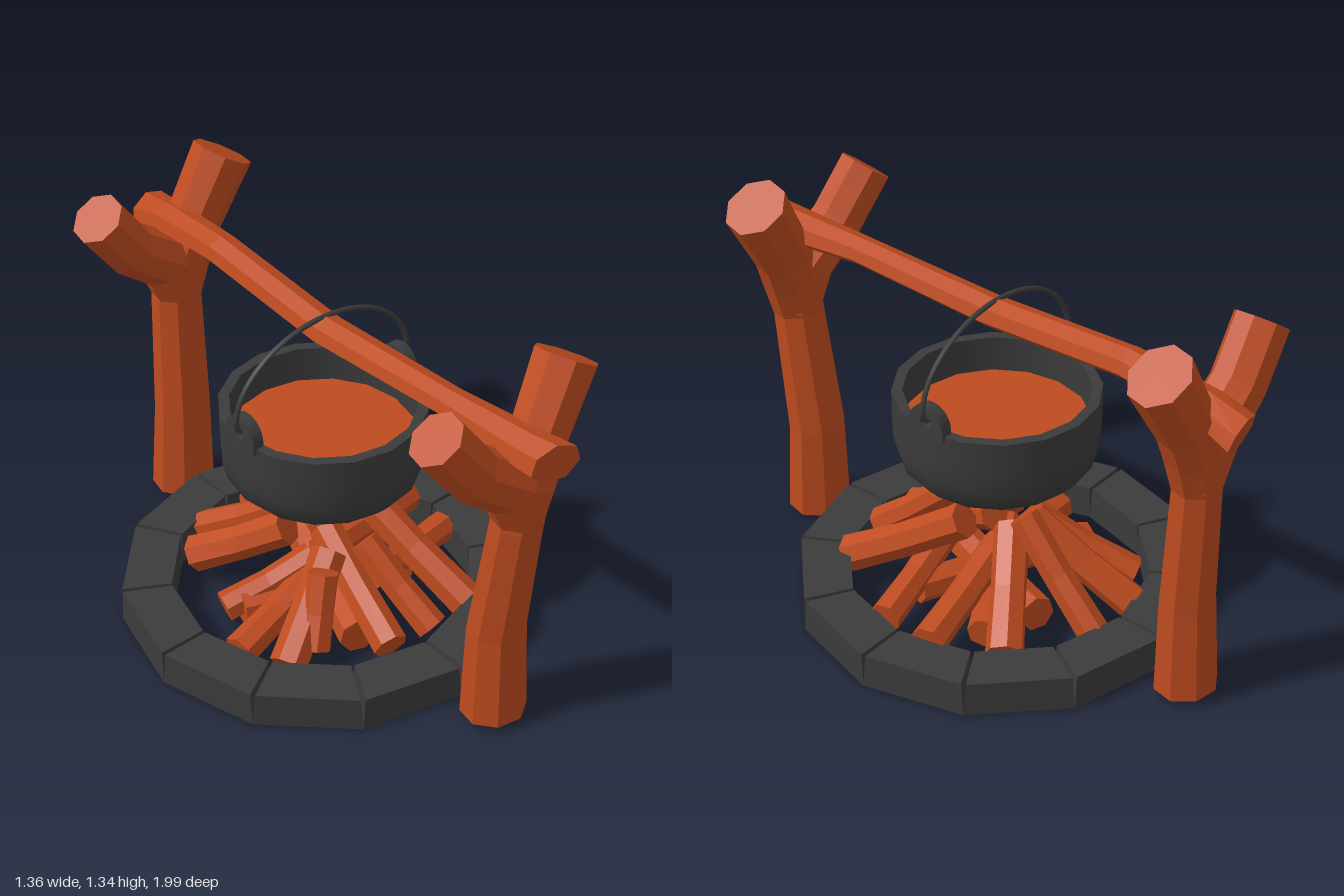
import * as THREE from 'three';

const wood = new THREE.MeshStandardMaterial({ color: 0xbe4b1f });
wood.name = 'russetWood';
const iron = new THREE.MeshStandardMaterial({ color: 0x3b3b3b });
iron.name = 'charcoalIron';
const CZ = -0.017; // centre of fire ring and pot

// Faceted branch swept through [x, y, z, radius] stations, capped at both ends;
// stretch scales the section along z (or along x for branches running in z)
function branch(stations, sides = 8, stretch = 1) {
  const pts = stations.map(s => new THREE.Vector3(s[0], s[1], s[2]));
  const n = pts.length, pos = [], idx = [];
  pts.forEach((p, i) => {
    const t = pts[Math.min(i + 1, n - 1)].clone().sub(pts[Math.max(i - 1, 0)]).normalize();
    const ref = Math.abs(t.z) > 0.8 ? new THREE.Vector3(1, 0, 0) : new THREE.Vector3(0, 0, 1);
    const u = ref.addScaledVector(t, -ref.dot(t)).normalize();
    const v = t.clone().cross(u);
    const r = stations[i][3];
    for (let j = 0; j < sides; j++) {
      const a = (j + 0.25) / sides * Math.PI * 2;
      const q = p.clone().addScaledVector(u, Math.cos(a) * r * stretch).addScaledVector(v, Math.sin(a) * r);
      pos.push(q.x, q.y, q.z);
    }
  });
  const first = n * sides, last = first + 1;
  pos.push(...pts[0].toArray(), ...pts[n - 1].toArray());
  for (let j = 0; j < sides; j++) {
    const k = (j + 1) % sides, e = (n - 1) * sides;
    for (let i = 0; i < n - 1; i++) {
      const a = i * sides + j, b = i * sides + k;
      idx.push(a, b, b + sides, a, b + sides, a + sides);
    }
    idx.push(first, k, j, last, e + j, e + k);
  }
  const g = new THREE.BufferGeometry();
  g.setAttribute('position', new THREE.Float32BufferAttribute(pos, 3));
  g.setIndex(idx);
  const flat = g.toNonIndexed();
  flat.computeVertexNormals();
  return flat;
}

function add(parent, name, geometry, material) {
  const m = new THREE.Mesh(geometry, material);
  m.name = name;
  parent.add(m);
  return m;
}

// Crooked crossbeam with slanting sawn ends
function beamGeometry() {
  const g = branch([
    [0.03, 1.098, 0.975, 0.066], [0.022, 1.098, 0.88, 0.06], [0.01, 1.1, 0.55, 0.044],
    [0.01, 1.077, 0, 0.048], [0.03, 1.112, -0.55, 0.048], [0.05, 1.088, -0.85, 0.053],
    [0.065, 1.05, -0.975, 0.066]], 7, 1.32);
  const p = g.attributes.position;
  for (let k = 0; k < p.count; k++) {
    const z = p.getZ(k);
    if (Math.abs(z) > 0.93) p.setZ(k, z + Math.sign(z) * 0.28 * (p.getX(k) - 0.045));
  }
  g.computeVertexNormals();
  return g;
}

// Wedge-shaped ring stone, narrowing slightly to the top
function ringStone(i) {
  const g = new THREE.BoxGeometry(1, 1, 1);
  const p = g.attributes.position;
  for (let k = 0; k < p.count; k++) {
    const top = p.getY(k) > 0;
    const a = (i + 0.5 + p.getX(k) * (top ? 0.955 : 1)) * Math.PI / 6;
    const r = p.getZ(k) > 0 ? (top ? 0.677 : 0.682) : 0.51;
    p.setXYZ(k, r * Math.sin(a), top ? 0.12 : 0, r * Math.cos(a) + CZ);
  }
  g.computeVertexNormals();
  return g;
}

// Forked post: trunk bending into the taller arm, plus a second arm.
// z lists the depth at foot, knee, neck, fork and tips
function forkedPost(name, z) {
  const post = new THREE.Group();
  post.name = name;
  add(post, 'trunk', branch([
    [0.03, 0.02, z[0], 0.113], [0.035, 0.35, z[1], 0.1], [0.043, 0.8, z[2], 0.088],
    [0.07, 0.93, z[2], 0.1], [0.12, 1.05, z[3], 0.099], [0.255, 1.28, z[4], 0.109]], 8, 0.92), wood);
  add(post, 'sideArm', branch([
    [0.055, 0.8, z[2], 0.084], [0.0, 0.955, z[2], 0.1],
    [-0.145, 1.06, z[3], 0.092], [-0.268, 1.225, z[4], 0.092]], 8, 1), wood);
  return post;
}

function cookingPot() {
  const pot = new THREE.Group();
  pot.name = 'cookingPot';
  const lathe = pts => new THREE.LatheGeometry(pts.map(p => new THREE.Vector2(p[0], p[1])), 16);
  add(pot, 'potBody', lathe([[0, 0.467], [0.12, 0.469], [0.21, 0.485], [0.28, 0.515],
    [0.322, 0.56], [0.337, 0.62], [0.34, 0.68], [0.34, 0.8]]), iron);
  add(pot, 'potRim', lathe([[0.34, 0.8], [0.305, 0.8]]), iron);
  add(pot, 'potInside', lathe([[0.305, 0.8], [0.305, 0.66]]), iron);
  const soup = add(pot, 'soup', new THREE.CircleGeometry(0.306, 16), wood);
  soup.rotation.x = -Math.PI / 2;
  soup.position.y = 0.675;

  // Round-topped lugs with a hole for the handle
  const shape = new THREE.Shape();
  shape.moveTo(-0.072, 0.78);
  shape.lineTo(0.072, 0.78);
  shape.lineTo(0.072, 0.813);
  shape.absarc(0, 0.813, 0.072, 0, Math.PI, false);
  shape.closePath();
  const hole = new THREE.Path();
  hole.absarc(0, 0.83, 0.024, 0, Math.PI * 2, true);
  shape.holes.push(hole);
  const lugGeo = new THREE.ExtrudeGeometry(shape, { depth: 0.04, bevelEnabled: false, curveSegments: 6 });
  lugGeo.rotateY(Math.PI / 2);
  for (const x of [-0.337, 0.297]) add(pot, 'lug', lugGeo, iron).position.x = x;

  // Wire handle arching over the beam, hooked through the lugs
  const path = [[-0.285, 0.83], [-0.325, 0.83]];
  for (let i = 0; i <= 12; i++) {
    const a = Math.PI * (1 - i / 12);
    path.push([0.348 * Math.cos(a), 0.86 + 0.262 * Math.sin(a)]);
  }
  path.push([0.325, 0.83], [0.285, 0.83]);
  const curve = new THREE.CatmullRomCurve3(path.map(p => new THREE.Vector3(p[0], p[1], 0)));
  add(pot, 'handle', new THREE.TubeGeometry(curve, 48, 0.009, 6), iron);
  pot.position.set(0.006, 0, CZ);
  pot.rotation.y = -0.04;
  return pot;
}

export function createModel() {
  const model = new THREE.Group();
  model.name = 'campfire';

  const ring = new THREE.Group();
  ring.name = 'stoneRing';
  for (let i = 0; i < 12; i++) add(ring, 'ringStone', ringStone(i), iron);
  model.add(ring);

  model.add(forkedPost('frontPost', [0.78, 0.77, 0.822, 0.808, 0.78]));
  model.add(forkedPost('backPost', [-0.813, -0.806, -0.823, -0.822, -0.815]));
  add(model, 'crossbeam', beamGeometry(), wood);

  // Firewood: outer end x y z, inner end x y z
  const logs = [
    [0.08, 0.1, 0.44, 0.02, 0.33, 0.17], [-0.085, 0.1, 0.42, 0.0, 0.29, 0.0],
    [0.265, 0.09, 0.41, 0.165, 0.36, -0.01], [0.47, 0.1, 0.075, 0.05, 0.17, 0.17],
    [0.49, 0.11, -0.125, 0.0, 0.18, -0.02], [0.35, 0.08, -0.33, 0.03, 0.3, -0.1],
    [0.08, 0.08, -0.48, 0.07, 0.4, -0.18], [-0.13, 0.08, -0.48, -0.02, 0.33, -0.14],
    [-0.25, 0.08, -0.39, -0.08, 0.28, -0.1], [-0.34, 0.06, -0.12, -0.03, 0.17, -0.03],
    [-0.44, 0.05, 0.075, -0.05, 0.13, 0.0], [-0.36, 0.05, 0.23, -0.07, 0.29, 0.1],
    [-0.255, 0.07, 0.24, -0.165, 0.305, 0.18],
    [-0.3, 0.06, -0.08, 0.26, 0.08, 0.12], [-0.1, 0.06, 0.28, 0.12, 0.08, -0.28],
    [0.3, 0.07, -0.2, -0.2, 0.1, 0.1]
  ];
  const pile = new THREE.Group();
  pile.name = 'firewood';
  logs.forEach((l, i) => {
    const r = 0.06 + 0.005 * (i % 3 - 1);
    const mid = [0, 1, 2].map(k => (l[k] + l[k + 3]) / 2 + (k === 1 ? -0.008 : 0));
    add(pile, 'log', branch([[l[0], l[1], l[2], r], [...mid, r * 0.92], [l[3], l[4], l[5], r * 0.95]], 7), wood);
  });
  model.add(pile);

  model.add(cookingPot());
  return model;
}
